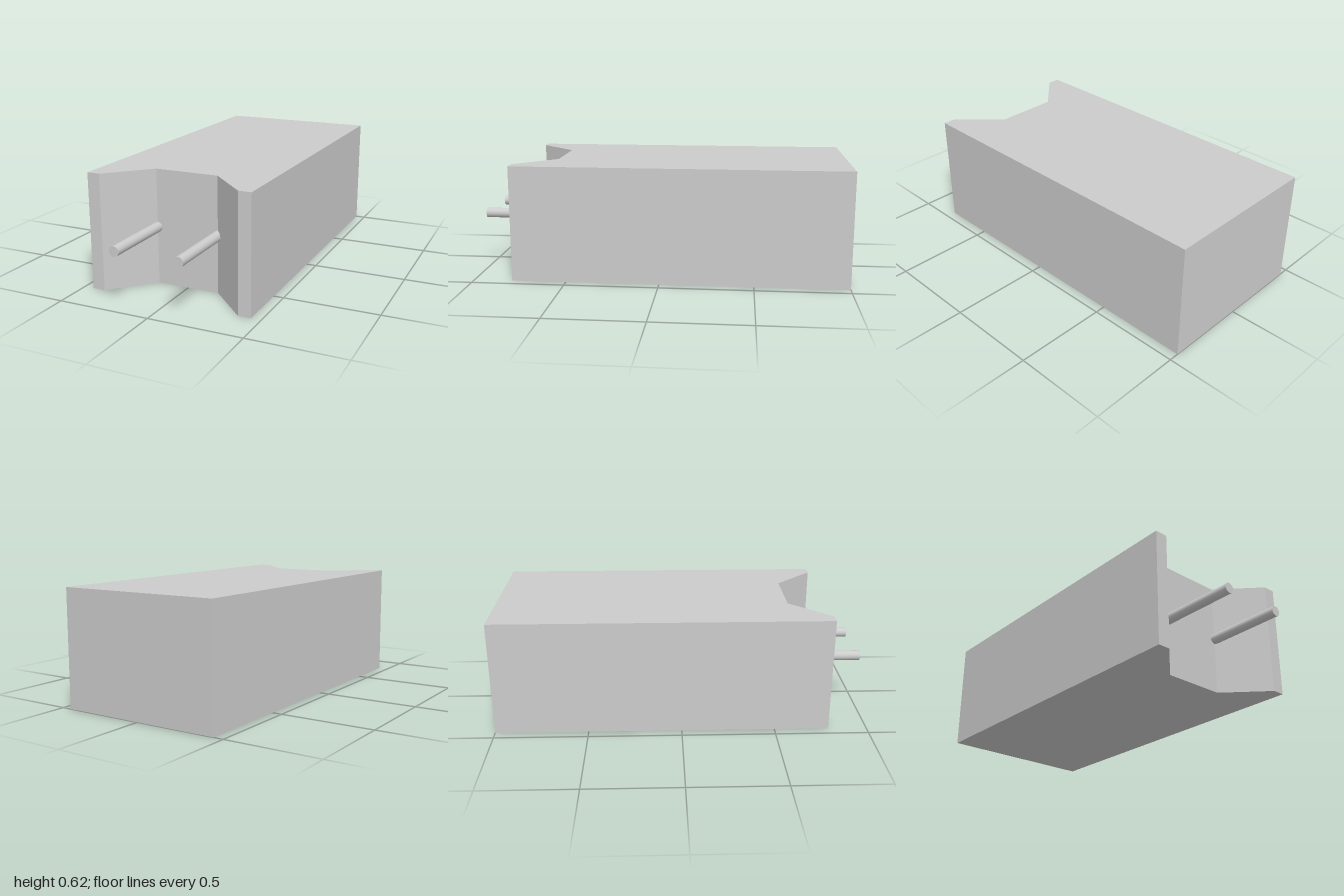
import * as THREE from 'three';

const HALF_WIDTH = 0.447, HEIGHT = 0.622, BACK = -1, FRONT = 0.793;
const RECESS_Z = 0.583, RECESS_INNER = 0.173, RECESS_OUTER = 0.379;
const PIN_RADIUS = 0.027, PIN_TIP = 1;

export function createModel() {
  const group = new THREE.Group();
  group.name = 'boxCapacitor';
  const material = new THREE.MeshStandardMaterial({ color: 0xcccccc });

  // Body: plan outline with a trapezoid recess in the front, extruded upward
  const outline = [
    [-HALF_WIDTH, FRONT], [-RECESS_OUTER, FRONT], [-RECESS_INNER, RECESS_Z],
    [RECESS_INNER, RECESS_Z], [RECESS_OUTER, FRONT], [HALF_WIDTH, FRONT],
    [HALF_WIDTH, BACK], [-HALF_WIDTH, BACK],
  ];
  const shape = new THREE.Shape(outline.map(([x, z]) => new THREE.Vector2(x, -z)));
  const bodyGeometry = new THREE.ExtrudeGeometry(shape, { depth: HEIGHT, bevelEnabled: false });
  bodyGeometry.rotateX(-Math.PI / 2);
  const body = new THREE.Mesh(bodyGeometry, material);
  body.name = 'body';
  group.add(body);

  // Two round lead pins standing out of the recess corners
  const length = PIN_TIP - RECESS_Z;
  const pinGeometry = new THREE.CylinderGeometry(PIN_RADIUS, PIN_RADIUS, length, 32);
  pinGeometry.rotateX(Math.PI / 2);
  for (const side of [-1, 1]) {
    const pin = new THREE.Mesh(pinGeometry, material);
    pin.name = side > 0 ? 'leftPin' : 'rightPin';
    pin.position.set(side * RECESS_INNER, HEIGHT / 2, RECESS_Z + length / 2);
    group.add(pin);
  }
  return group;
}
